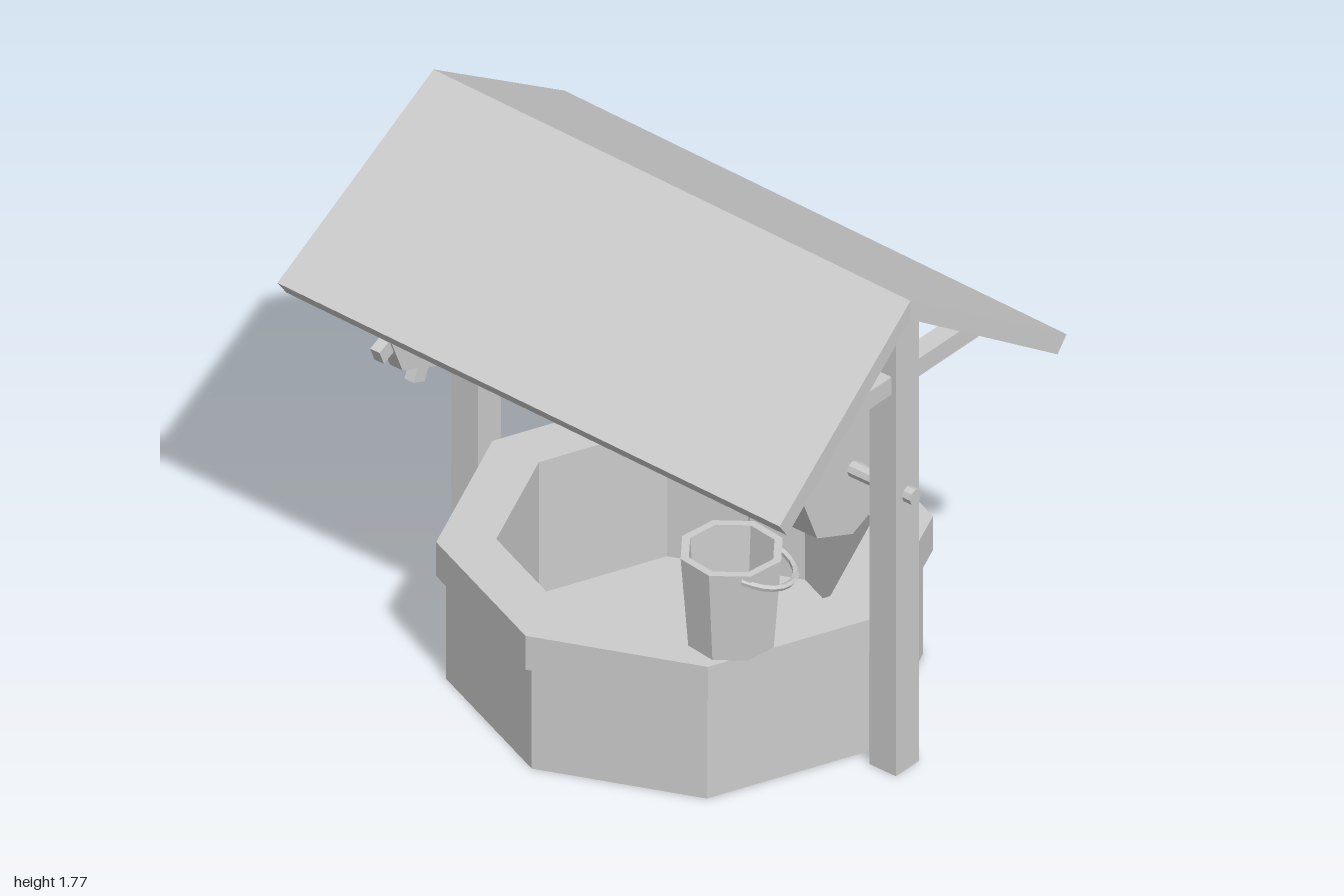
import * as THREE from 'three';

const grey = new THREE.MeshStandardMaterial({ color: 0xcccccc, flatShading: true, side: THREE.DoubleSide });
const AXLE_Y = 1.015;

export function createModel() {
  const model = new THREE.Group();

  function add(name, geometry, x = 0, y = 0, z = 0, parent = model) {
    const mesh = new THREE.Mesh(geometry, grey);
    mesh.name = name;
    mesh.position.set(x, y, z);
    parent.add(mesh);
    return mesh;
  }

  // Eight-sided solid of revolution from [radius, y] pairs
  const octLathe = (pairs, start = 0) =>
    new THREE.LatheGeometry(pairs.map(([r, y]) => new THREE.Vector2(r, y)), 8, start);

  // Cylinder lying along x between x0 and x1
  const bar = (r, x0, x1) =>
    new THREE.CylinderGeometry(r, r, x1 - x0, 8).rotateZ(Math.PI / 2).translate((x0 + x1) / 2, 0, 0);

  // Well: thick wall, overhanging rim, floor
  const well = new THREE.Group();
  well.name = 'well';
  well.position.x = 0.05;
  model.add(well);
  add('wellWall', octLathe([[0.58, 0], [0.735, 0], [0.735, 0.38], [0.58, 0.38], [0.58, 0]]), 0, 0, 0, well);
  add('wellRim', octLathe([[0.58, 0.38], [0.765, 0.38], [0.765, 0.505], [0.58, 0.505], [0.58, 0.38]]), 0, 0, 0, well);
  add('wellFloor', new THREE.CylinderGeometry(0.58, 0.58, 0.02, 8), 0, 0.01, 0, well);

  // Posts with cross beams under the roof
  for (const [side, x, top] of [['right', -0.78, 1.69], ['left', 0.885, 1.655]]) {
    add(side + 'Post', new THREE.BoxGeometry(0.105, top, 0.11), x, top / 2, 0);
    add(side + 'CrossBeam', new THREE.BoxGeometry(0.07, 0.065, 0.76), x, 1.432, 0);
  }

  // Roof: folded slab, flared at the eaves and sagging towards +x
  const section = new THREE.Shape();
  [[0, 1.752], [0.69, 1.297], [0.65, 1.242], [0, 1.683], [-0.65, 1.242], [-0.69, 1.297]]
    .forEach(([z, y], i) => (i ? section.lineTo(z, y) : section.moveTo(z, y)));
  const roof = new THREE.ExtrudeGeometry(section, { depth: 2, bevelEnabled: false })
    .translate(0, 0, -1).rotateY(Math.PI / 2);
  const p = roof.attributes.position;
  for (let i = 0; i < p.count; i++) {
    const x = p.getX(i) * (0.95 + 0.05 * Math.abs(p.getZ(i)) / 0.69);
    p.setX(i, x);
    p.setY(i, p.getY(i) - 0.0235 * x);
  }
  roof.computeVertexNormals();
  add('roof', roof);

  // Axle and three-part winding drum
  add('axle', bar(0.027, -0.98, 0.97), 0, AXLE_Y, 0);
  add('drumRight', bar(0.242, -0.62, -0.225), 0, AXLE_Y, 0);
  add('drumMiddle', bar(0.25, -0.225, 0.225), 0, AXLE_Y, 0);
  add('drumLeft', bar(0.242, 0.225, 0.72), 0, AXLE_Y, 0);

  // Toothed wheel
  const wheel = new THREE.Group();
  wheel.name = 'toothedWheel';
  wheel.position.set(-0.92, AXLE_Y, 0);
  model.add(wheel);
  add('wheelDisc', bar(0.305, -0.025, 0.025), 0, 0, 0, wheel);
  for (let i = 0; i < 8; i++) {
    const tooth = new THREE.BoxGeometry(0.038, 0.08, 0.055).translate(0, 0.293, 0);
    add('wheelTooth', tooth.rotateX((i + 0.5) * Math.PI / 4), 0, 0, 0, wheel);
  }

  // Bucket standing on the rim, with a drooping handle
  const bucket = new THREE.Group();
  bucket.name = 'bucket';
  bucket.position.set(0.54, 0.505, 0.365);
  model.add(bucket);
  add('bucketBody', octLathe([[0, 0], [0.142, 0], [0.167, 0.325], [0.14, 0.325], [0.12, 0.03], [0, 0.03]],
    Math.PI / 12), 0, 0, 0, bucket);
  const arc = [];
  for (let i = 0; i <= 8; i++) {
    const droop = Math.sin(i * Math.PI / 8);
    const a = (40 - i * 22.5) * Math.PI / 180;
    const r = 0.155 + 0.043 * droop;
    arc.push(new THREE.Vector3(r * Math.cos(a), 0.305 - 0.075 * droop, r * Math.sin(a)));
  }
  add('bucketHandle', new THREE.TubeGeometry(new THREE.CatmullRomCurve3(arc), 16, 0.011, 5), 0, 0, 0, bucket);

  // Rope hanging from the drum into the well
  const rope = new THREE.CatmullRomCurve3([[0.205, 0.86], [0.222, 0.68], [0.21, 0.48], [0.218, 0.25], [0.21, 0.02]]
    .map(([x, y]) => new THREE.Vector3(x, y, -0.125)));
  add('rope', new THREE.TubeGeometry(rope, 10, 0.01, 5));

  return model;
}
